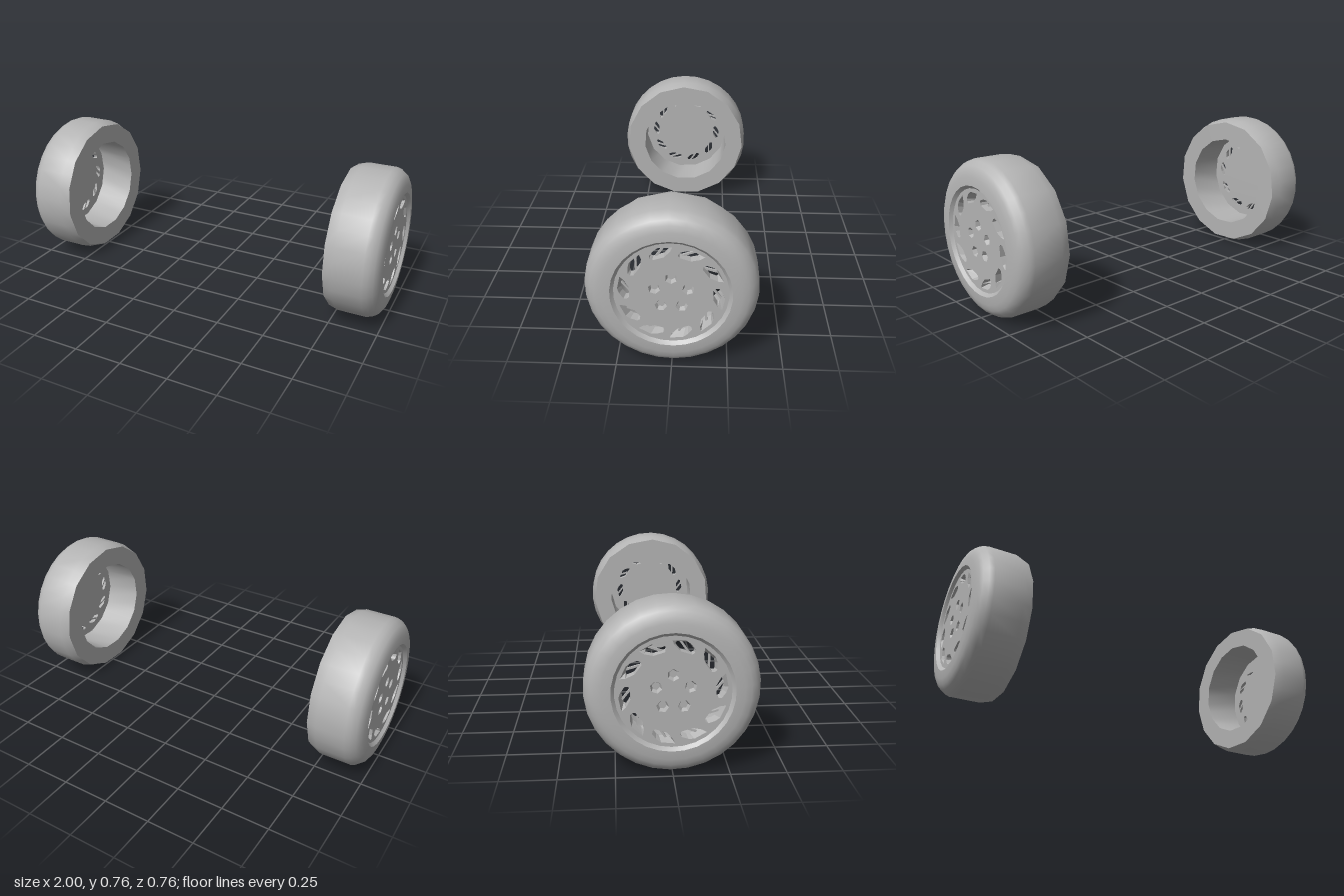
import * as THREE from 'three';
import { toCreasedNormals } from 'three/addons/utils/BufferGeometryUtils.js';

const RAD = Math.PI / 180;
const SIDES = 30, TURN = -1.6;
const FACE = 0.985, BACK = 0.945; // front and rear planes of the wheel disc

// Wheel plane: angle in degrees, clockwise from the top
const polar = (r, a) => new THREE.Vector2(r * Math.sin(a * RAD), r * Math.cos(a * RAD));
const ring = (r, n, turn, c = new THREE.Vector2()) =>
  Array.from({ length: n }, (_, i) => polar(r, turn + i * 360 / n).add(c));

function plate(outline, holes, depth) {
  const shape = new THREE.Shape(outline);
  shape.holes = holes.map(h => new THREE.Path(h));
  return new THREE.ShapeGeometry(shape).translate(0, 0, depth);
}

// Inward facing walls joining a front outline to a rear outline
function walls(front, back, zFront, zBack) {
  const pos = [];
  front.forEach((f, i) => {
    const j = (i + 1) % front.length, g = front[j], b = back[i], c = back[j];
    pos.push(f.x, f.y, zFront, b.x, b.y, zBack, g.x, g.y, zFront);
    pos.push(g.x, g.y, zFront, b.x, b.y, zBack, c.x, c.y, zBack);
  });
  const geo = new THREE.BufferGeometry();
  geo.setAttribute('position', new THREE.Float32BufferAttribute(pos, 3));
  geo.computeVertexNormals();
  return geo;
}

// Tyre and barrel: one turned profile; the inner edge has half as many sides
function tyreGeometry() {
  const profile = [
    [0.262, BACK], [0.262, 0.735], [0.367, 0.735], [0.382, 0.785], [0.382, 0.93],
    [0.374, 0.953], [0.355, 0.977], [0.335, 0.989], [0.305, 0.997], [0.265, 1], [0.25, FACE],
  ].map(p => new THREE.Vector2(...p));
  const geo = new THREE.LatheGeometry(profile, SIDES, (180 - TURN) * RAD);
  const pos = geo.attributes.position, k = Math.cos(2 * Math.PI / SIDES);
  for (let i = 0; i < pos.count; i++) {
    const step = Math.floor(i / profile.length);
    if (step % 2 && i % profile.length < 3) {
      pos.setX(i, pos.getX(i) * k);
      pos.setZ(i, pos.getZ(i) * k);
    }
  }
  return toCreasedNormals(geo.rotateX(Math.PI / 2), 32 * RAD);
}

function createWheel(material) {
  const wheel = new THREE.Group();
  const add = (name, geo) => {
    const mesh = new THREE.Mesh(geo.rotateY(Math.PI / 2), material);
    mesh.name = name;
    wheel.add(mesh);
  };
  add('tyre', tyreGeometry());

  // Slanted vents narrow from front to back
  const ventFront = [[0.195, -27], [0.208, -26], [0.224, -19], [0.233, -13], [0.234, 2], [0.211, -0.5], [0.184, -9], [0.183, -25]];
  const ventBack = [[0.193, -27], [0.2, -26], [0.213, -20], [0.219, -16], [0.215, -4], [0.207, -2], [0.184, -9], [0.183, -25]];
  const frontHoles = [], backHoles = [];
  for (let i = 0; i < 10; i++) {
    const place = list => list.map(([r, a]) => polar(r, a + i * 36));
    const f = place(ventFront), b = place(ventBack);
    frontHoles.push(f);
    backHoles.push(b);
    add('vent', walls(f, b, FACE, BACK));

    // Thin rib crossing the vent
    const p = polar(0.18, -21 + i * 36), q = polar(0.22, -8 + i * 36), d = q.clone().sub(p);
    add('ventRib', new THREE.BoxGeometry(d.length(), 0.009, 0.01)
      .rotateZ(d.angle()).translate((p.x + q.x) / 2, (p.y + q.y) / 2, BACK + 0.006));
  }

  // Hexagonal bolt recesses
  for (let i = 0; i < 5; i++) {
    const a = i * 72, c = polar(0.077, a);
    const rim = ring(0.027, 6, a, c), floor = ring(0.018, 6, a, c);
    frontHoles.push(rim);
    add('boltRecess', walls(rim, floor, FACE, FACE - 0.02));
    add('boltFloor', plate(floor, [], FACE - 0.02));
  }

  add('discFront', plate(ring(0.251, SIDES, TURN), frontHoles, FACE));
  add('discBack', plate(ring(0.262, SIDES, TURN), backHoles, -BACK)
    .scale(1, 1, -1).translate(0, 0, 0));
  // Turn the rear plate's faces toward the axle
  const back = wheel.children[wheel.children.length - 1].geometry;
  const index = back.index.array;
  for (let i = 0; i < index.length; i += 3) [index[i], index[i + 1]] = [index[i + 1], index[i]];
  back.computeVertexNormals();
  return wheel;
}

export function createModel() {
  const grey = new THREE.MeshStandardMaterial({ color: 0xb4b4b4 });
  grey.name = 'grey';
  const model = new THREE.Group();
  for (const side of [1, -1]) {
    const wheel = createWheel(grey);
    wheel.name = side > 0 ? 'leftWheel' : 'rightWheel';
    wheel.scale.x = side;
    wheel.position.y = 0.382;
    model.add(wheel);
  }
  return model;
}
